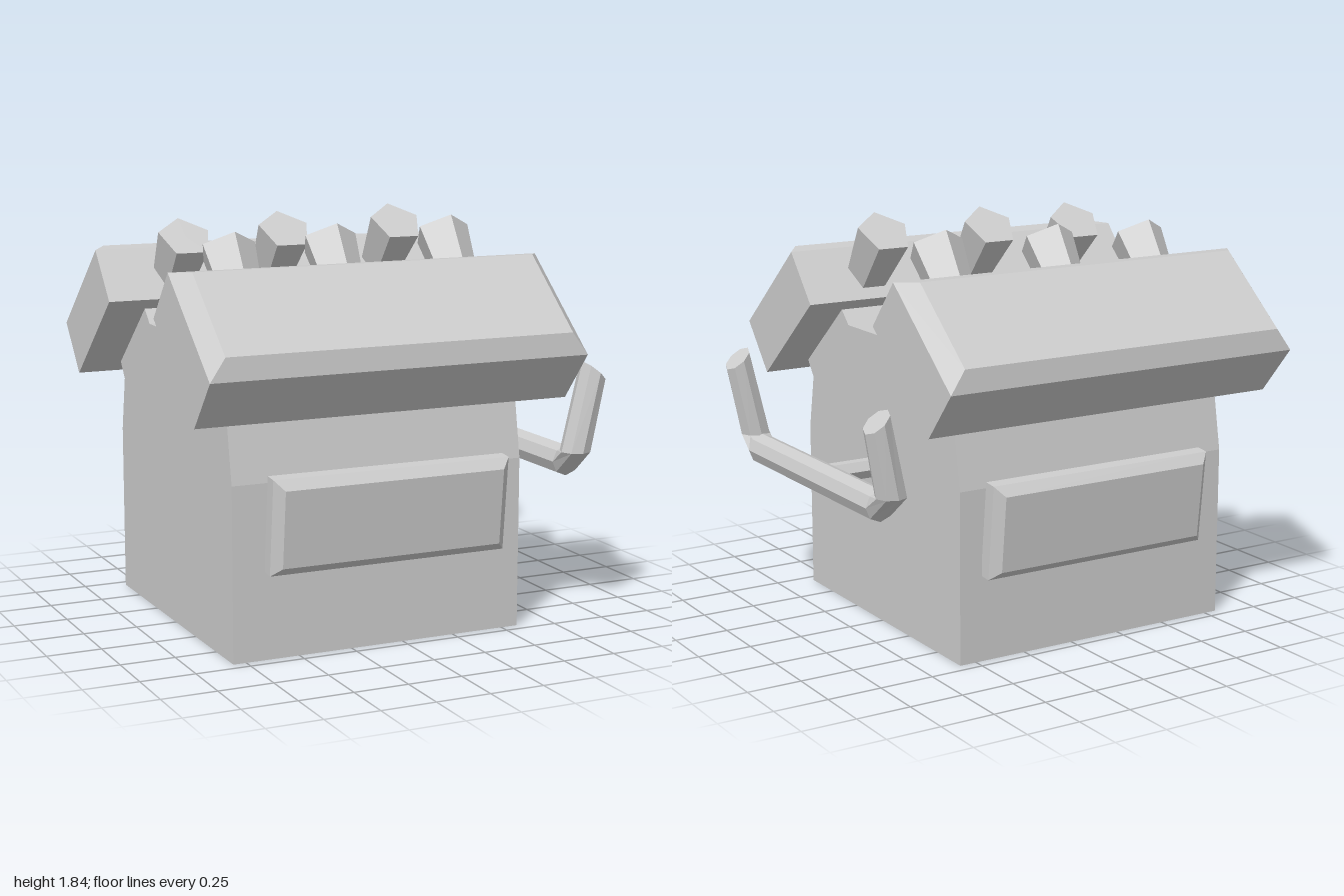
import * as THREE from 'three';

const V = (x, y, z) => new THREE.Vector3(x, y, z);

// Skin a list of equal-sized rings, capped at both ends, with flat facets
function loft(rings) {
  const pts = [];
  const n = rings[0].length;
  const tri = (...t) => t.forEach(p => pts.push(p.x, p.y, p.z));
  for (let i = 0; i < rings.length - 1; i++) {
    for (let j = 0; j < n; j++) {
      const k = (j + 1) % n;
      const [r, s] = [rings[i], rings[i + 1]];
      tri(r[j], r[k], s[k]);
      tri(r[j], s[k], s[j]);
    }
  }
  const a = rings[0], b = rings[rings.length - 1];
  for (let j = 1; j < n - 1; j++) {
    tri(a[0], a[j + 1], a[j]);
    tri(b[0], b[j], b[j + 1]);
  }
  const g = new THREE.BufferGeometry();
  g.setAttribute('position', new THREE.Float32BufferAttribute(pts, 3));
  g.computeVertexNormals();
  return g;
}

// Slab rising along +y whose top edges are bevelled
function bevelledSlab(width, length, side, height, inset) {
  const rect = (y, d) => {
    const w = width / 2 - d, l = length / 2 - d;
    return [V(w, y, l), V(w, y, -l), V(-w, y, -l), V(-w, y, l)];
  };
  return loft([rect(0, 0), rect(side, 0), rect(height, inset)]);
}

function flat(geometry) {
  const g = geometry.toNonIndexed();
  g.computeVertexNormals();
  return g;
}

export function createModel() {
  const model = new THREE.Group();
  model.name = 'machine';
  const grey = new THREE.MeshStandardMaterial({ color: 0xcccccc });
  grey.name = 'grey';
  const add = (name, geometry, x = 0, y = 0, z = 0, tilt = 0) => {
    const m = new THREE.Mesh(geometry, grey);
    m.name = name;
    m.position.set(x, y, z);
    m.rotation.x = tilt;
    model.add(m);
    return m;
  };

  // Body: side profile with two flared shoulders, extruded across x
  const half = [[0.7, 0], [0.7, 0.78], [0.655, 1.03], [0.72, 1.12], [0.39, 1.44], [0.29, 1.34]];
  const outline = [...half, ...half.map(([z, y]) => [-z, y]).reverse()];
  const profile = new THREE.Shape(outline.map(([z, y]) => new THREE.Vector2(z, y)));
  const body = new THREE.ExtrudeGeometry(profile, { depth: 1.39, bevelEnabled: false });
  body.rotateY(Math.PI / 2);
  add('body', flatBody(body), -0.81);

  // Each side has a sloping lid, a raised panel and three knobs
  const lid = bevelledSlab(1.77, 0.617, 0.285, 0.357, 0.072);
  const panel = bevelledSlab(1.13, 0.43, 0.06, 0.1, 0.042);
  const knobs = [[-0.643, 0.04], [-0.153, 0.02], [0.42, 0]];
  const knobLength = 0.33;
  for (const s of [1, -1]) {
    const side = s > 0 ? 'front' : 'back';
    add(side + 'Lid', lid, -0.115, 1.252, s * 0.531, s * 0.7);
    add(side + 'Panel', panel, -0.095, 0.604, s * 0.714, s * (Math.PI / 2 + 0.1));
    const knob = flat(new THREE.CylinderGeometry(0.128, 0.093, knobLength, 5, 1, false, s > 0 ? 0 : Math.PI));
    for (const [x, sink] of knobs) {
      const d = knobLength / 2 + sink;
      add(side + 'Knob', knob, x, 1.766 - 0.787 * d, s * (0.224 + 0.617 * d), -s * 0.665);
    }
  }

  // Axle joining the handle to the body
  const axle = flat(new THREE.CylinderGeometry(0.047, 0.047, 0.32, 6));
  add('axle', axle, 0.71, 0.722, 0.055).rotation.z = Math.PI / 2;

  // U-shaped handle: each ring has a centre, a cross axis and an outward axis
  const X = V(1, 0, 0), slant = V(0.76, -0.65, 0);
  const path = [
    [V(0.95, 1.15, 0.705), slant, V(0, 0, 1)],
    [V(0.87, 0.785, 0.7), X, V(0, 0, 1)],
    [V(0.875, 0.725, 0.615), X, V(0, -1, 0)],
    [V(0.875, 0.725, -0.535), X, V(0, -1, 0)],
    [V(0.87, 0.785, -0.62), X, V(0, 0, -1)],
    [V(0.94, 1.12, -0.63), slant, V(0, 0, -1)],
  ];
  const sides = 8, radius = 0.071;
  add('handle', loft(path.map(([c, u, v]) => Array.from({ length: sides }, (_, i) => {
    const a = i / sides * Math.PI * 2;
    return c.clone().addScaledVector(u, radius * Math.cos(a)).addScaledVector(v, radius * Math.sin(a));
  }))));

  return model;
}

// Extruded geometry is already unindexed, so only its normals are refreshed
function flatBody(g) {
  g.computeVertexNormals();
  return g;
}
